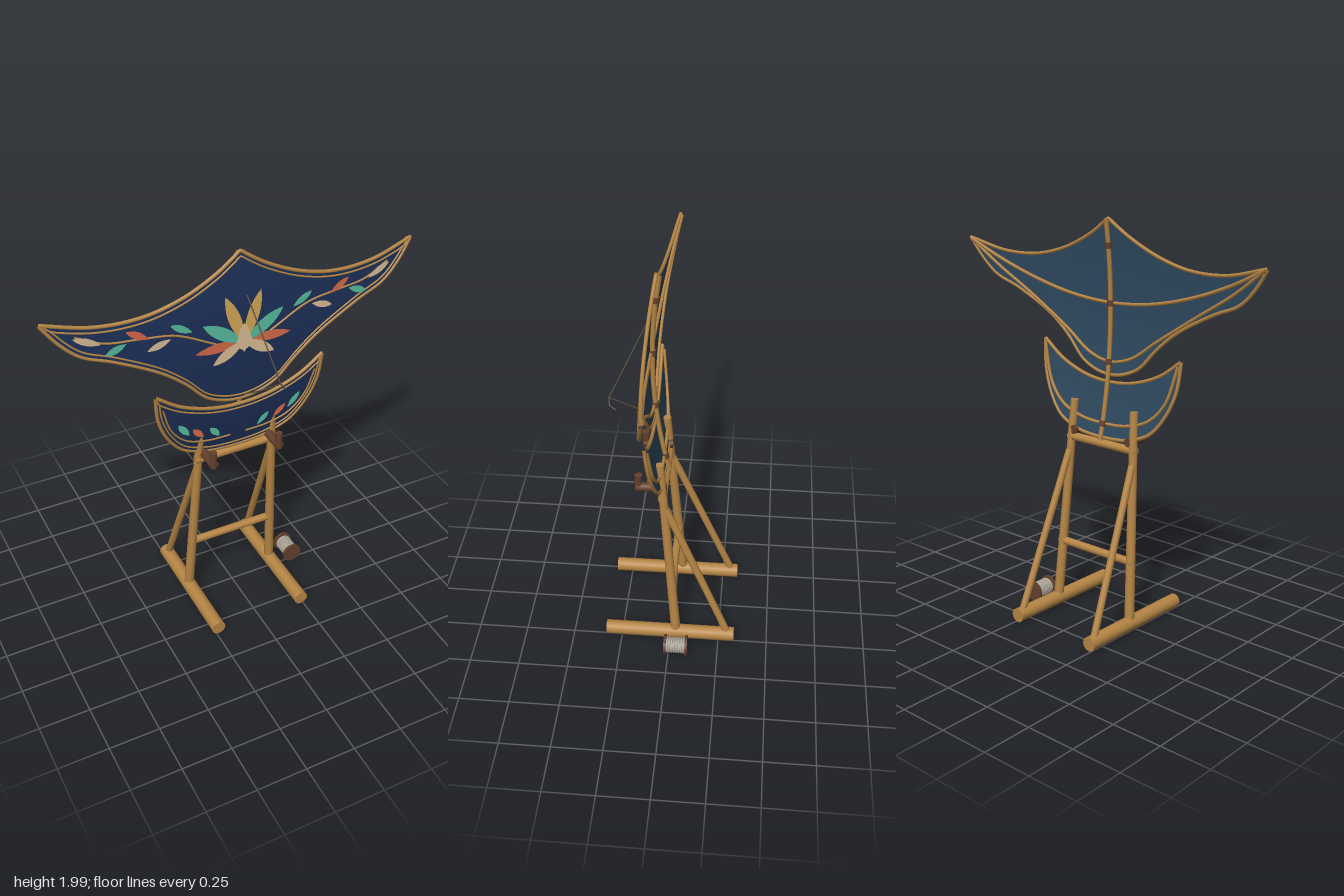
import * as THREE from 'three';

const mat = (name, color, side = THREE.FrontSide) => {
  const m = new THREE.MeshStandardMaterial({ color, side });
  m.name = name;
  return m;
};
const V = (x, y, z) => new THREE.Vector3(x, y, z);

export function createModel() {
  const model = new THREE.Group();
  const bamboo = mat('bamboo', 0xb58545);
  const navy = mat('navy paper', 0x1d3058);
  const slate = mat('paper back', 0x2f4a60);
  const gold = mat('gold paper', 0xd8aa58);
  const teal = mat('teal paper', 0x58bd9f);
  const coral = mat('coral paper', 0xd9694a);
  const cream = mat('cream paper', 0xdcc096);
  const brown = mat('dark wood', 0x64402c);
  const thread = mat('reel thread', 0xb0aa9c);
  const cord = mat('bridle cord', 0x5c5040);

  const add = (name, geometry, material, parent = model) => {
    const m = new THREE.Mesh(geometry, material);
    m.name = name;
    parent.add(m);
    return m;
  };
  const rod = (name, a, b, ra, rb, material, parent = model) => {
    const m = add(name, new THREE.CylinderGeometry(rb, ra, a.distanceTo(b), 16), material, parent);
    m.position.copy(a).lerp(b, 0.5);
    m.quaternion.setFromUnitVectors(V(0, 1, 0), b.clone().sub(a).normalize());
    return m;
  };
  const tube = (name, pts, r, material, parent = model, closed = false, seg = pts.length * 4) =>
    add(name, new THREE.TubeGeometry(new THREE.CatmullRomCurve3(pts, closed), seg, r, 7, closed), material, parent);

  // The bowed surface shared by both sails
  const bow = (x, y) => 0.117 - 0.19 * (y - 1.55) ** 2 - 0.065 * x * x;
  const onBow = (x, y, lift = 0) => V(x, y, bow(x, y) + lift);
  const curve = pts => new THREE.CatmullRomCurve3(pts.map(([x, y]) => V(x, y, 0)));

  const kite = new THREE.Group();
  kite.name = 'kite';
  model.add(kite);

  // Sail: strip between an upper and a lower edge, both mirrored from centre to tip
  function sail(name, upperPts, lowerPts) {
    const group = new THREE.Group();
    group.name = name;
    kite.add(group);
    const up = curve(upperPts), low = curve(lowerPts);
    const edge = (c, u) => {
      const p = c.getPointAt(Math.abs(u));
      if (u < 0) p.x = -p.x;
      return p;
    };
    const face = (lift, flip) => {
      const NU = 80, NV = 12, pos = [], idx = [];
      for (let i = 0; i <= NU; i++) {
        const u = i / NU * 2 - 1, a = edge(up, u), b = edge(low, u);
        for (let j = 0; j <= NV; j++) {
          const p = a.clone().lerp(b, j / NV);
          pos.push(p.x, p.y, bow(p.x, p.y) + lift);
          if (i === NU || j === NV) continue;
          const k = i * (NV + 1) + j, n = k + NV + 1;
          if (flip) idx.push(k, n, k + 1, n, n + 1, k + 1);
          else idx.push(k, k + 1, n, n, k + 1, n + 1);
        }
      }
      const g = new THREE.BufferGeometry();
      g.setAttribute('position', new THREE.Float32BufferAttribute(pos, 3));
      g.setIndex(idx);
      g.computeVertexNormals();
      return g;
    };
    add('sailFront', face(0, false), navy, group);
    add('sailBack', face(-0.006, true), slate, group);
    // Bamboo rim and the thin trim line set in from it
    const border = (d, lift, r, label, limit) => {
      [[up, low, 'Upper'], [low, up, 'Lower']].forEach(([a, b, side]) => {
        const pts = [];
        for (let i = 0; i <= 60; i++) {
          const u = (i / 30 - 1) * limit, p = edge(a, u), dir = edge(b, u).sub(p), len = dir.length();
          if (len > 1e-6) p.addScaledVector(dir, Math.min(d, len / 2) / len);
          pts.push(onBow(p.x, p.y, lift));
        }
        tube(label + side, pts, r, bamboo, group, false, 120);
      });
    };
    border(0, -0.003, 0.009, 'rim', 1);
    border(0.024, 0.001, 0.0045, 'trim', 0.98);
    return group;
  }
  const wing = sail('upperSail',
    [[0, 1.985], [0.05, 1.95], [0.12, 1.905], [0.28, 1.83], [0.465, 1.783], [0.68, 1.782], [0.91, 1.835]],
    [[0, 1.235], [0.07, 1.243], [0.175, 1.288], [0.28, 1.395], [0.4, 1.49], [0.61, 1.6], [0.75, 1.657], [0.836, 1.735], [0.91, 1.835]]);
  const moon = sail('crescentSail',
    [[0, 1.2], [0.07, 1.203], [0.175, 1.222], [0.31, 1.275], [0.43, 1.36]],
    [[0, 0.93], [0.07, 0.932], [0.15, 0.942], [0.28, 0.992], [0.36, 1.085], [0.413, 1.21], [0.43, 1.36]]);

  // Back frame: spine, bent spars and lashings
  const spine = [];
  for (let y = 0.92; y < 2; y += 0.133) spine.push(onBow(0, y, -0.018));
  tube('spine', spine, 0.012, bamboo, kite);
  const spar = (name, pts, r, parent) => {
    const half = pts.map(([x, y]) => onBow(x, y, -0.012));
    const left = half.slice(1).reverse().map(p => V(-p.x, p.y, p.z));
    tube(name, [...left, ...half], r, bamboo, parent, false, 60);
  };
  spar('upperSpar', [[0, 1.585], [0.25, 1.605], [0.5, 1.665], [0.72, 1.745], [0.9, 1.83]], 0.009, wing);
  spar('lowerSpar', [[0, 1.3], [0.13, 1.33], [0.28, 1.43], [0.52, 1.58], [0.72, 1.7], [0.9, 1.83]], 0.008, wing);
  spar('crescentSpar', [[0, 1.0], [0.14, 1.01], [0.27, 1.055], [0.36, 1.15], [0.42, 1.34]], 0.008, moon);
  for (const y of [1.0, 1.3, 1.585, 1.86])
    rod('lashing', onBow(0, y - 0.014, -0.018), onBow(0, y + 0.014, -0.018), 0.017, 0.017, brown, kite);

  // Leaf or petal: thin face laid on the sail, from its base in a given direction
  function leaf(name, x0, y0, x1, y1, width, material, lift = 0.004) {
    const len = Math.hypot(x1 - x0, y1 - y0);
    const s = new THREE.Shape();
    s.moveTo(0, 0);
    s.quadraticCurveTo(len * 0.55, width, len, 0);
    s.quadraticCurveTo(len * 0.55, -width, 0, 0);
    const g = new THREE.ShapeGeometry(s, 10);
    g.rotateZ(Math.atan2(y1 - y0, x1 - x0));
    g.translate(x0, y0, 0);
    const p = g.attributes.position;
    for (let i = 0; i < p.count; i++) p.setZ(i, bow(p.getX(i), p.getY(i)) + lift);
    add(name, g, material, kite);
  }
  for (const s of [-1, 1]) {
    // Vines
    tube('vine', [[0.06, 1.53], [0.17, 1.59], [0.33, 1.665], [0.49, 1.685], [0.645, 1.7], [0.77, 1.755]]
      .map(([x, y]) => onBow(s * x, y, 0.001)), 0.005, bamboo, kite);
    tube('crescentVine', [[0.04, 1.01], [0.16, 1.015], [0.27, 1.05], [0.35, 1.14], [0.395, 1.28]]
      .map(([x, y]) => onBow(s * x, y, 0.001)), 0.005, bamboo, kite);
    // Vine leaves
    for (const [x0, y0, x1, y1, m] of [
      [0.25, 1.665, 0.35, 1.72, teal], [0.35, 1.655, 0.46, 1.62, cream], [0.45, 1.68, 0.55, 1.735, coral],
      [0.55, 1.68, 0.65, 1.64, teal], [0.66, 1.7, 0.78, 1.75, cream],
      [0.1, 1.03, 0.155, 1.1, teal], [0.185, 1.05, 0.245, 1.12, coral], [0.26, 1.085, 0.32, 1.17, teal]])
      leaf('vineLeaf', s * x0, y0, s * x1, y1, 0.034, m, 0.006);
    // Flower petals
    leaf('coralPetal', 0, 1.56, s * 0.24, 1.545, 0.05, coral, 0.005);
    leaf('tealPetal', 0, 1.55, s * 0.2, 1.68, 0.062, teal, 0.006);
    leaf('goldPetal', 0, 1.55, s * 0.088, 1.795, 0.06, gold, 0.007);
    leaf('creamPetal', 0, 1.56, s * 0.155, 1.465, 0.055, cream, 0.0075);
  }
  leaf('middlePetal', 0, 1.5, 0, 1.65, 0.06, cream, 0.008);
  const heart = add('flowerCentre', new THREE.CircleGeometry(0.04, 24), cream, kite);
  heart.position.copy(onBow(0, 1.555, 0.009));

  // Bridle cords with a loose tail
  const knot = V(0.1, 1.395, 0.29);
  [[onBow(0.02, 1.78), knot], [knot, V(0.05, 1.32, 0.2)], [V(0.05, 1.32, 0.2), onBow(0.015, 1.25)],
    [knot, V(0.12, 1.365, 0.287)], [V(0.12, 1.365, 0.287), V(0.14, 1.355, 0.255)]]
    .forEach(([a, b]) => rod('bridleCord', a, b, 0.003, 0.003, cord));

  // Stand: skids, leaning posts, back struts and pegs
  for (const s of [-1, 1]) {
    rod('skid', V(s * 0.238, 0.036, -0.33), V(s * 0.238, 0.036, 0.33), 0.036, 0.036, bamboo);
    rod('post', V(s * 0.238, 0.04, -0.03), V(s * 0.19, 1.09, 0.05), 0.025, 0.02, bamboo);
    rod('backStrut', V(s * 0.238, 0.05, -0.295), V(s * 0.203, 0.83, 0.022), 0.018, 0.018, bamboo);
    rod('peg', V(s * 0.175, 0.94, 0.02), V(s * 0.175, 0.94, 0.165), 0.022, 0.022, brown);
    rod('pegTip', V(s * 0.175, 0.925, 0.155), V(s * 0.175, 1.01, 0.155), 0.018, 0.018, brown);
  }
  rod('topBar', V(-0.215, 0.9, 0.038), V(0.215, 0.9, 0.038), 0.021, 0.021, bamboo);
  rod('lowerBar', V(-0.24, 0.35, -0.008), V(0.24, 0.35, -0.008), 0.02, 0.02, bamboo);

  // Reel lying beside the stand
  const reel = new THREE.Group();
  reel.name = 'reel';
  reel.position.set(0.355, 0.053, -0.038);
  model.add(reel);
  for (const z of [-0.054, 0.054])
    rod('reelFlange', V(0, 0, z - 0.006), V(0, 0, z + 0.006), 0.052, 0.052, brown, reel);
  rod('reelCore', V(0, 0, -0.05), V(0, 0, 0.05), 0.035, 0.035, thread, reel);
  for (let i = 0; i < 8; i++)
    add('threadTurn', new THREE.TorusGeometry(0.036, 0.006, 6, 24), thread, reel).position.z = -0.042 + i * 0.012;

  return model;
}
